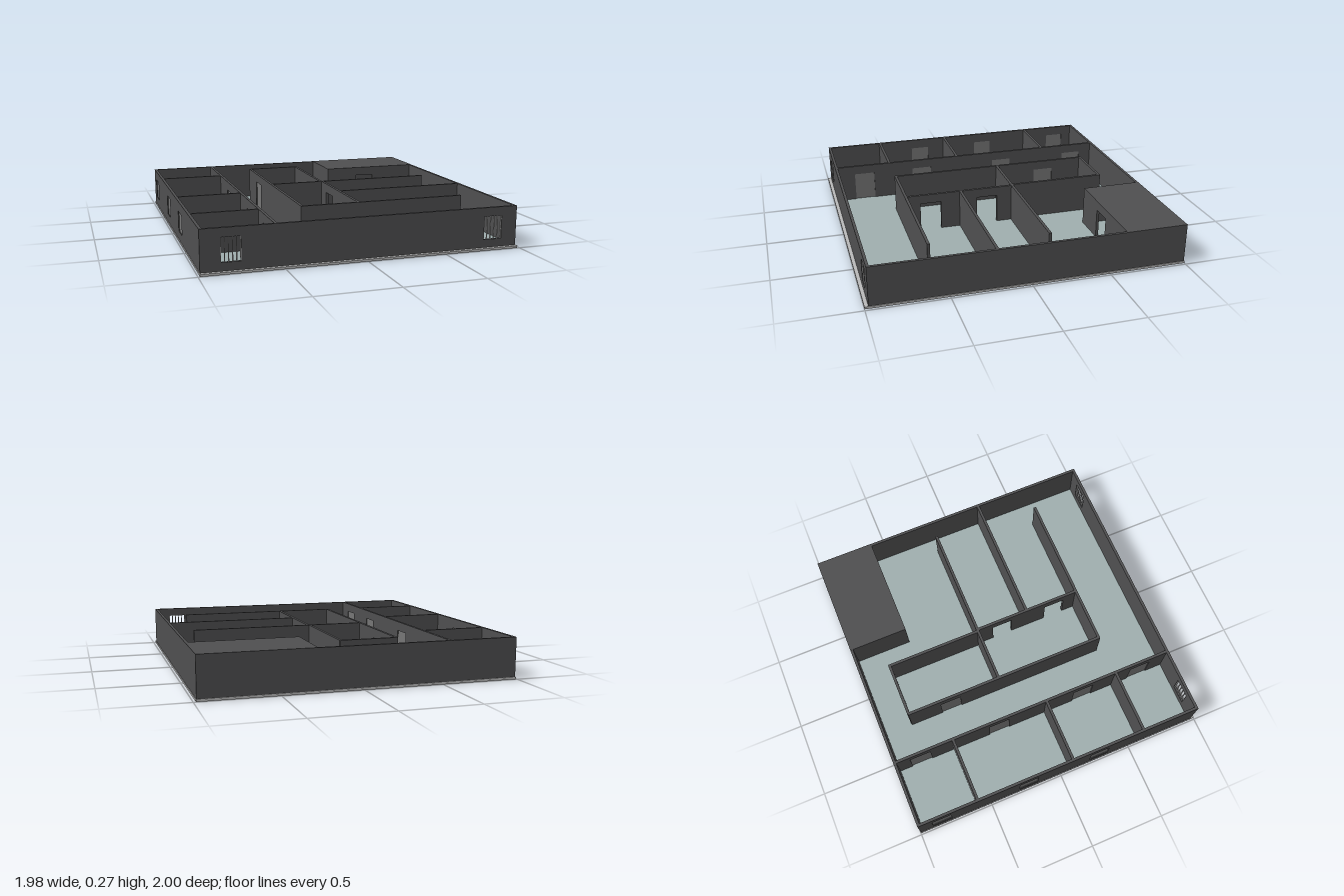
import * as THREE from 'three';

const H = 0.265, T = 0.018, FLOOR = 0.013;
const mat = (color) => new THREE.MeshStandardMaterial({ color });

export function createModel() {
  const model = new THREE.Group();
  const wallMat = mat(0x505051), floorMat = mat(0xa0b0b0);
  const panelMat = mat(0x777777), trimMat = mat(0xbbbbbb);

  // box given by its lower and upper limits on each axis
  const box = (parent, name, material, x0, x1, y0, y1, z0, z1) => {
    const mesh = new THREE.Mesh(new THREE.BoxGeometry(x1 - x0, y1 - y0, z1 - z0), material);
    mesh.position.set((x0 + x1) / 2, (y0 + y1) / 2, (z0 + z1) / 2);
    mesh.name = name;
    parent.add(mesh);
  };

  // openings along a wall: c = centre, w = width, b/t = bottom and top
  const door = (c, leaf) => ({ c, w: 0.14, b: 0, t: 0.205, fill: leaf ? 'doorLeaf' : null });
  const pane = (c) => ({ c, w: 0.13, b: 0.07, t: 0.2, fill: 'windowPane' });
  const barred = (c) => ({ c, w: 0.12, b: 0.065, t: 0.21, fill: 'windowBar' });

  // wall along 'x' or 'z' at the given position, split around its openings
  const wall = (name, axis, pos, from, to, openings = []) => {
    const group = new THREE.Group();
    group.name = name;
    model.add(group);
    const piece = (label, material, a, b, y0, y1, thick = T) => {
      const p = pos - thick / 2, q = pos + thick / 2;
      if (axis === 'x') box(group, label, material, a, b, y0, y1, p, q);
      else box(group, label, material, p, q, y0, y1, a, b);
    };
    let start = from;
    for (const { c, w, b, t, fill } of openings) {
      const l = c - w / 2, r = c + w / 2;
      piece('wallPanel', wallMat, start, l, 0, H);
      piece('lintel', wallMat, l, r, t, H);
      if (b > 0) piece('sill', wallMat, l, r, 0, b);
      if (fill === 'windowBar') {
        for (let i = 0; i < 6; i++) {
          const x = l + (w - 0.005) * i / 5;
          piece(fill, trimMat, x, x + 0.005, b, t, 0.008);
        }
      } else if (fill) piece(fill, panelMat, l, r, Math.max(b, FLOOR), t, 0.006);
      start = r;
    }
    piece('wallPanel', wallMat, start, to, 0, H);
  };

  // floor slab with a pale edge
  box(model, 'floor', floorMat, -0.985, 0.98, 0.002, FLOOR, -0.992, 0.975);
  box(model, 'frontEdge', trimMat, -0.99, 0.985, 0.001, 0.015, 0.975, 1);
  box(model, 'backEdge', trimMat, -0.99, 0.985, 0.001, 0.015, -1, -0.992);
  for (const x of [-0.99, 0.98]) box(model, 'sideEdge', trimMat, x, x + 0.006, 0.001, 0.015, -0.992, 0.975);

  // outer walls
  wall('frontWall', 'x', 0.968, -0.986, 0.982, [barred(-0.81), barred(0.82)]);
  wall('backWall', 'x', -0.987, -0.986, 0.982);
  wall('leftWall', 'z', 0.973, -0.99, 0.97);
  wall('rightWall', 'z', -0.977, -0.99, 0.97, [pane(-0.84), pane(-0.23), pane(0.275)]);

  // row of rooms along one side
  wall('corridorWall', 'z', -0.548, -0.98, 0.96,
    [door(-0.82, true), door(-0.26, true), door(0.35, true), door(0.77, true)]);
  for (const z of [-0.585, 0.08, 0.585]) wall('roomDivider', 'x', z, -0.975, -0.548);

  // central rooms
  wall('coreSideWall', 'z', -0.28, -0.795, 0.593, [door(-0.5, true)]);
  wall('coreBackWall', 'x', -0.79, -0.28, 0.085);
  wall('coreInnerWall', 'z', 0.08, -0.795, -0.15);
  wall('coreMiddleWall', 'z', 0.092, -0.15, 0.585, [door(0.03), door(0.42)]);
  wall('longDivider', 'x', -0.15, -0.28, 0.86);
  wall('frontDivider', 'x', 0.585, -0.28, 0.8);
  wall('shortDivider', 'x', 0.213, 0.092, 0.973);

  // roofed corner room
  wall('cornerRoomSide', 'z', 0.292, -0.99, -0.6);
  wall('cornerRoomFront', 'x', -0.609, 0.283, 0.973, [door(0.58)]);
  box(model, 'cornerRoomRoof', wallMat, 0.283, 0.982, H - 0.012, H + 0.001, -0.996, -0.6);

  return model;
}
